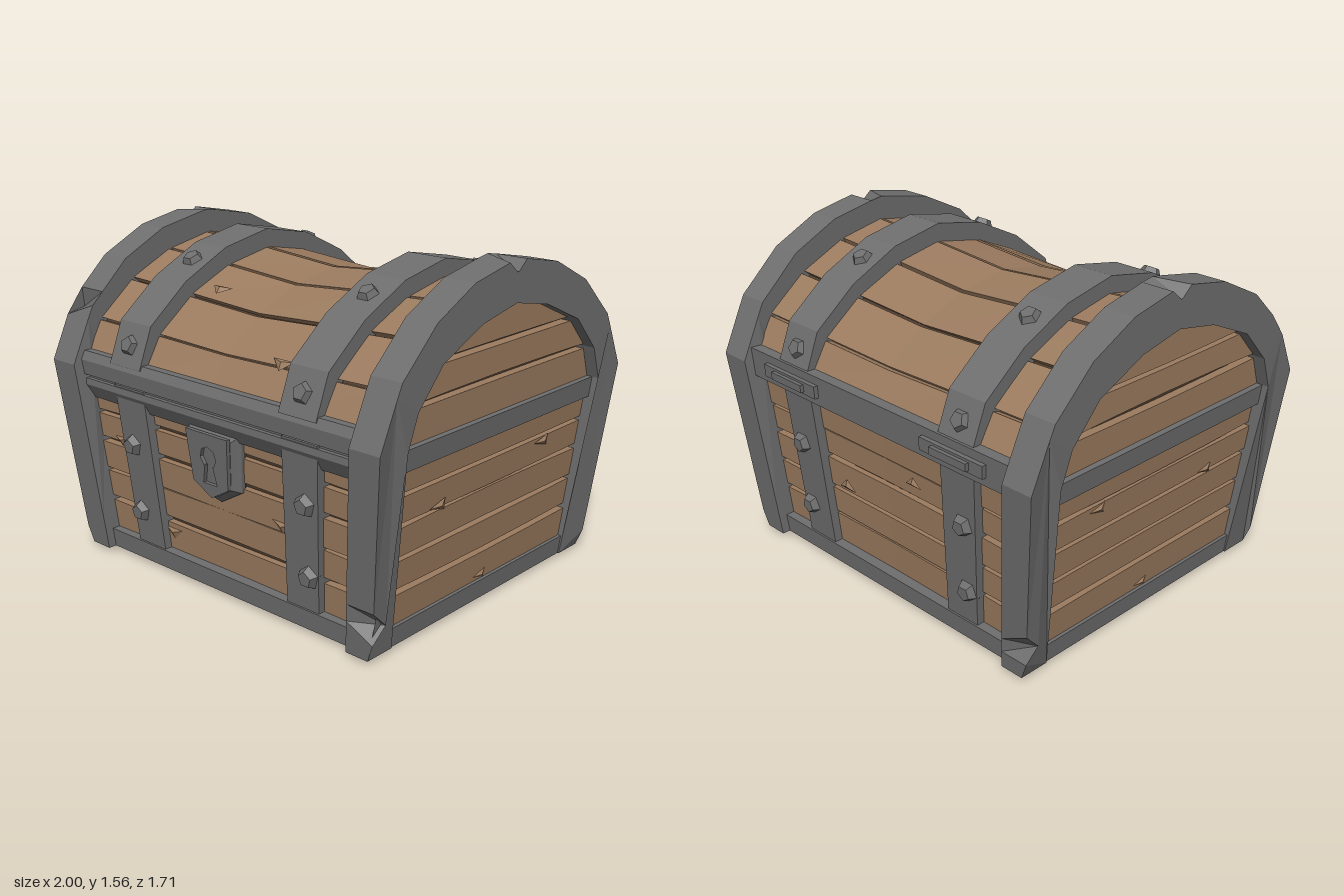
import * as THREE from 'three';

const material = (name, color) => Object.assign(new THREE.MeshStandardMaterial({ color }), { name });

// Small seeded generator for hand-cut irregularity, -1..1
let seed = 7;
const jitter = () => {
  seed = (seed * 16807) % 2147483647;
  return (seed / 2147483647) * 2 - 1;
};
const lerp = THREE.MathUtils.lerp;

// The chest narrows towards its foot
const narrowing = (y) => Math.max(0, (0.93 - y) / 0.93);
const taper = (v) => {
  const t = narrowing(v.y);
  v.x *= 1 - 0.1 * t;
  v.z *= 1 - 0.095 * t;
  return v;
};
// Lid boards sag towards the middle
const sag = (v) => {
  if (v.y > 0.98) v.y -= 0.06 * Math.pow(Math.max(0, 1 - Math.abs(v.x) / 0.85), 1.2) * (v.y - 0.98) / 0.47;
};

// Moves every vertex by a rule, tapers it, and leaves flat outward faces
function finish(source, rule) {
  const geo = source.index ? source.toNonIndexed() : source;
  const p = geo.attributes.position;
  const v = new THREE.Vector3();
  for (let i = 0; i < p.count; i++) {
    v.fromBufferAttribute(p, i);
    if (rule) rule(v);
    taper(v);
    p.setXYZ(i, v.x, v.y, v.z);
  }
  const a = new THREE.Vector3(), b = new THREE.Vector3(), c = new THREE.Vector3();
  let volume = 0;
  for (let i = 0; i < p.count; i += 3) {
    a.fromBufferAttribute(p, i); b.fromBufferAttribute(p, i + 1); c.fromBufferAttribute(p, i + 2);
    volume += a.dot(b.cross(c));
  }
  if (volume < 0) {
    for (let i = 0; i < p.count; i += 3) {
      b.fromBufferAttribute(p, i + 1); c.fromBufferAttribute(p, i + 2);
      p.setXYZ(i + 1, c.x, c.y, c.z);
      p.setXYZ(i + 2, b.x, b.y, b.z);
    }
  }
  geo.computeVertexNormals();
  return geo;
}

// Six-sided block; map(u, a, b) places each 0..1 coordinate
const block = (map, segments = 1) =>
  finish(new THREE.BoxGeometry(1, 1, 1, segments, 1, 1), (v) => v.set(...map(v.x + 0.5, v.y + 0.5, v.z + 0.5)));
const box = (x0, x1, y0, y1, z0, z1) =>
  block((u, a, b) => [lerp(x0, x1, u), lerp(y0, y1, a), lerp(z0, z1, b)]);
// Outline given as [z, y], pushed along x from x0 to x1
function alongX(points, x0, x1, steps, rule) {
  const shape = new THREE.Shape(points.map(([z, y]) => new THREE.Vector2(z, y)));
  const geo = new THREE.ExtrudeGeometry(shape, { depth: x1 - x0, steps, bevelEnabled: false });
  return finish(geo, (v) => {
    v.set(v.z + x0, v.y, v.x);
    if (rule) rule(v);
  });
}
// Mirrors a half arch (from +z up to the crown) to the full one
const arch = (half) => [...half, ...half.slice(0, -1).reverse().map(([z, y]) => [-z, y])];

export function createModel() {
  seed = 7;
  const chest = new THREE.Group();
  chest.name = 'chest';
  const wood = material('wood', 0x9b7b5f);
  const darkWood = material('darkWood', 0x4b3a2c);
  const metal = material('metal', 0x6e6e6e);
  const add = (name, geo, mat) => {
    const mesh = new THREE.Mesh(geo, mat);
    mesh.name = name;
    chest.add(mesh);
    return mesh;
  };

  // Dark core seen through the gaps between boards
  const lidHalf = [[0.775, 0.98], [0.69, 1.13], [0.49, 1.29], [0.25, 1.4], [0, 1.45]];
  const lid = arch(lidHalf);
  const coreArch = lid.map(([z, y]) => [z * 0.95, 0.95 + (y - 0.95) * 0.92]);
  add('core', alongX([[0.72, 0.04], [0.73, 0.93], ...coreArch, [-0.73, 0.93], [-0.72, 0.04]], -0.9, 0.9, 4, sag), darkWood);

  // Curved lid boards
  for (let i = 0; i < lid.length - 1; i++) {
    const [p, q] = [lid[i], lid[i + 1]];
    const lift = 1 + 0.006 * jitter(), bend = 0.02 * jitter();
    const g = block((u, a, b) => {
      const wave = bend * Math.sin(u * Math.PI);
      const t = a ? 0.97 + wave : 0.04 + wave;
      const k = b ? lift : 0.92;
      const v = new THREE.Vector3(lerp(-0.86, 0.86, u), 0.9 + (lerp(p[1], q[1], t) - 0.9) * k, lerp(p[0], q[0], t) * k);
      sag(v);
      return v.toArray();
    }, 4);
    add('lidBoard', g, wood);
  }

  // Front and back boards
  const rows = [[0.09, 0.25], [0.275, 0.4], [0.42, 0.55], [0.575, 0.69], [0.71, 0.88]];
  for (const side of [1, -1]) {
    for (const [y0, y1] of rows) {
      const low = 0.012 * jitter(), high = 0.012 * jitter(), out = 0.765 + 0.006 * jitter();
      add(side > 0 ? 'frontBoard' : 'backBoard', block((u, a, b) => [
        lerp(-0.87, 0.87, u),
        a ? y1 + high * Math.sin(u * Math.PI) : y0 + low * Math.sin(u * Math.PI),
        side * (b ? out - 0.012 * Math.sin(u * Math.PI) : 0.68),
      ], 4), wood);
    }
  }

  // End boards, wide enough to tuck into the arched frames: y0, y1, half widths
  const endRows = [...rows.slice(0, 4).map(([a, b]) => [a, b, 0.75, 0.75]),
    [0.71, 0.85, 0.75, 0.75], [0.88, 1.045, 0.75, 0.7], [1.07, 1.2, 0.7, 0.6], [1.22, 1.42, 0.57, 0.25]];
  for (const side of [1, -1]) {
    for (const [y0, y1, w0, w1] of endRows) {
      const low = 0.012 * jitter(), high = 0.012 * jitter(), out = 0.945 + 0.006 * jitter();
      add('endBoard', block((u, a, b) => [
        side * (b ? out : 0.86),
        a ? y1 + high * Math.sin(u * Math.PI) : y0 + low * Math.sin(u * Math.PI),
        lerp(-1, 1, u) * (a ? w1 : w0),
      ], 4), wood);
    }
    add('endRail', box(side * 0.88, side * 0.968, 0.81, 0.905, -0.72, 0.72), metal);
    add('endSill', box(side * 0.84, side * 0.968, 0.02, 0.11, -0.72, 0.72), metal);
  }

  // Floor boards running front to back
  for (let i = 0; i < 9; i++) {
    const x0 = -0.86 + i * 0.191, dip = i === 5 ? 0.025 : 0.01;
    add('floorBoard', block((u, a, b) => [
      x0 + (b ? 0.178 : 0.008), a ? 0.07 : 0.025 - dip * Math.sin(u * Math.PI), lerp(-0.73, 0.73, u),
    ], 4), wood);
  }

  // Arched end frames with chipped edges: [z, y, pulled z, pulled y]
  const outer = [[0.855, 0.02], [0.855, 0.1], [0.855, 0.17], [0.855, 0.25], [0.855, 0.94], [0.76, 1.14], [0.73, 1.2],
    [0.67, 1.255], [0.525, 1.39], [0.29, 1.505], [0.06, 1.55], [0, 1.56]];
  const inner = [[0.69, 0.02], [0.69, 0.905], [0.63, 1.06], [0.48, 1.22], [0.23, 1.33], [0, 1.375]];
  const frameOutline = [...arch(outer), ...arch(inner).reverse()];
  const chips = { 1: [[0, 1.56, 0, 1.5], [0.855, 0.17, 0.77, 0.17]], '-1': [[0, 1.56, 0, 1.5], [0.73, 1.2, 0.66, 1.16], [-0.855, 0.17, -0.78, 0.17]] };
  for (const side of [1, -1]) {
    add('endFrame', alongX(frameOutline, 0.845, 1, 1, (v) => {
      if (v.x > 0.9) {
        for (const [z, y, toZ, toY] of chips[side])
          if (Math.hypot(v.z - z, v.y - y) < 0.01) v.set(v.x, toY, toZ);
        if (v.y < 0.05) v.x -= 0.025;
      }
      v.x *= side;
    }), metal);
  }

  // Sills, and the rails where lid and base meet
  for (const side of [1, -1]) add('sill', box(-0.86, 0.86, 0.02, 0.11, side * 0.67, side * 0.81), metal);
  add('frontRail', alongX([[0.7, 0.77], [0.775, 0.77], [0.81, 0.84], [0.805, 0.87], [0.7, 0.87]], -0.86, 0.86, 1), metal);
  add('railGroove', box(-0.86, 0.86, 0.865, 0.895, 0.7, 0.785), metal);
  add('lidLip', alongX([[0.7, 0.89], [0.81, 0.89], [0.815, 0.96], [0.795, 1], [0.7, 1]], -0.86, 0.86, 1), metal);
  add('backRail', box(-0.86, 0.86, 0.86, 1, -0.815, -0.7), metal);

  // Pentagonal rivets
  const rivet = (x, y, z, ny, nz) => {
    const geo = new THREE.CylinderGeometry(0.036, 0.06, 0.045, 5).rotateY(Math.PI).toNonIndexed();
    geo.computeVertexNormals();
    const mesh = add('rivet', geo, metal);
    mesh.position.copy(taper(new THREE.Vector3(x, y, z)));
    mesh.quaternion.setFromUnitVectors(new THREE.Vector3(0, 1, 0), new THREE.Vector3(0, ny, nz).normalize());
  };

  // Straps over the lid and down the front and back, with hinges behind
  const strapHalf = [[0.81, 0.98], [0.735, 1.17], [0.52, 1.34], [0.27, 1.46], [0, 1.512]];
  const strapOuter = arch(strapHalf);
  const strapInner = strapOuter.map(([z, y]) => [z * 0.88, 0.97 + (y - 0.97) * 0.8]).reverse();
  for (const side of [1, -1]) {
    const c = side * 0.532;
    add('lidStrap', alongX([...strapOuter, ...strapInner], c - 0.103, c + 0.103, 1), metal);
    for (const face of [1, -1]) {
      add(face > 0 ? 'frontStrap' : 'backStrap', box(c - 0.1, c + 0.1, 0.09, 0.88, face * 0.72, face * 0.8), metal);
      rivet(c, 1.41, face * 0.385, 0.9, face * 0.43);
      rivet(c, 1.075, face * 0.775, 0.4, face * 0.915);
      rivet(side * 0.56, 0.6, face * 0.81, -0.08, face);
      rivet(side * 0.575, 0.27, face * 0.81, -0.08, face);
    }
    add('hingePlate', box(c - 0.185, c + 0.185, 0.9, 0.96, -0.835, -0.8), metal);
    add('hingeKnuckle', box(c - 0.108, c + 0.108, 0.912, 0.948, -0.852, -0.82), metal);
  }

  // Lock: bevelled shield with a plate cut by a keyhole
  const shield = (w, top, low, tip) => new THREE.Shape([[-w, top], [-w * 0.87, low], [0, tip], [w * 0.87, low], [w, top]]
    .map(([x, y]) => new THREE.Vector2(x, y)));
  const back = new THREE.ExtrudeGeometry(shield(0.133, 0.775, 0.55, 0.487),
    { depth: 0.02, bevelSize: 0.028, bevelThickness: 0.04, bevelSegments: 1 });
  add('lockShield', finish(back.translate(0, 0, 0.75)), metal);
  const front = shield(0.131, 0.79, 0.552, 0.49);
  const keyhole = new THREE.Path();
  keyhole.moveTo(-0.045, 0.555).lineTo(0.045, 0.555).lineTo(0.025, 0.64);
  for (let i = 0; i <= 6; i++) {
    const a = -0.9 + (i / 6) * (Math.PI + 1.8);
    keyhole.lineTo(0.05 * Math.cos(a), 0.68 + 0.05 * Math.sin(a));
  }
  keyhole.lineTo(-0.025, 0.64);
  front.holes.push(keyhole);
  add('lockPlate', finish(new THREE.ExtrudeGeometry(front, { depth: 0.02, bevelEnabled: false }).translate(0, 0, 0.808)), metal);

  // Shallow splinters: x, y, z, turn about x, length
  const splinters = [[0.38, 0.44, 0.768, 0, 0.07], [-0.39, 0.2, 0.768, 0, 0.07], [-0.7, 0.585, 0.768, 0, 0.06],
    [0.33, 1.14, 0.685, -0.75, 0.07], [-0.3, 1.315, 0.43, -1.1, 0.07], [0.3, 0.45, -0.768, Math.PI, 0.07], [-0.2, 0.65, -0.768, Math.PI, 0.06]];
  for (const [x, y, z, turn, size] of splinters) {
    const g = new THREE.ConeGeometry(size, 0.014, 3).rotateX(Math.PI / 2).scale(1, 0.5, 1).rotateX(turn).translate(x, y, z);
    add('splinter', finish(g), wood);
  }
  for (const [y, z] of [[0.58, 0.38], [0.67, -0.38], [0.13, 0]]) {
    for (const side of [1, -1]) {
      const g = new THREE.ConeGeometry(0.07, 0.014, 3).rotateZ(-Math.PI / 2).scale(1, 0.45, 1);
      if (side < 0) g.rotateY(Math.PI);
      add('splinter', finish(g.translate(side * 0.955, y, z)), wood);
    }
  }
  return chest;
}
